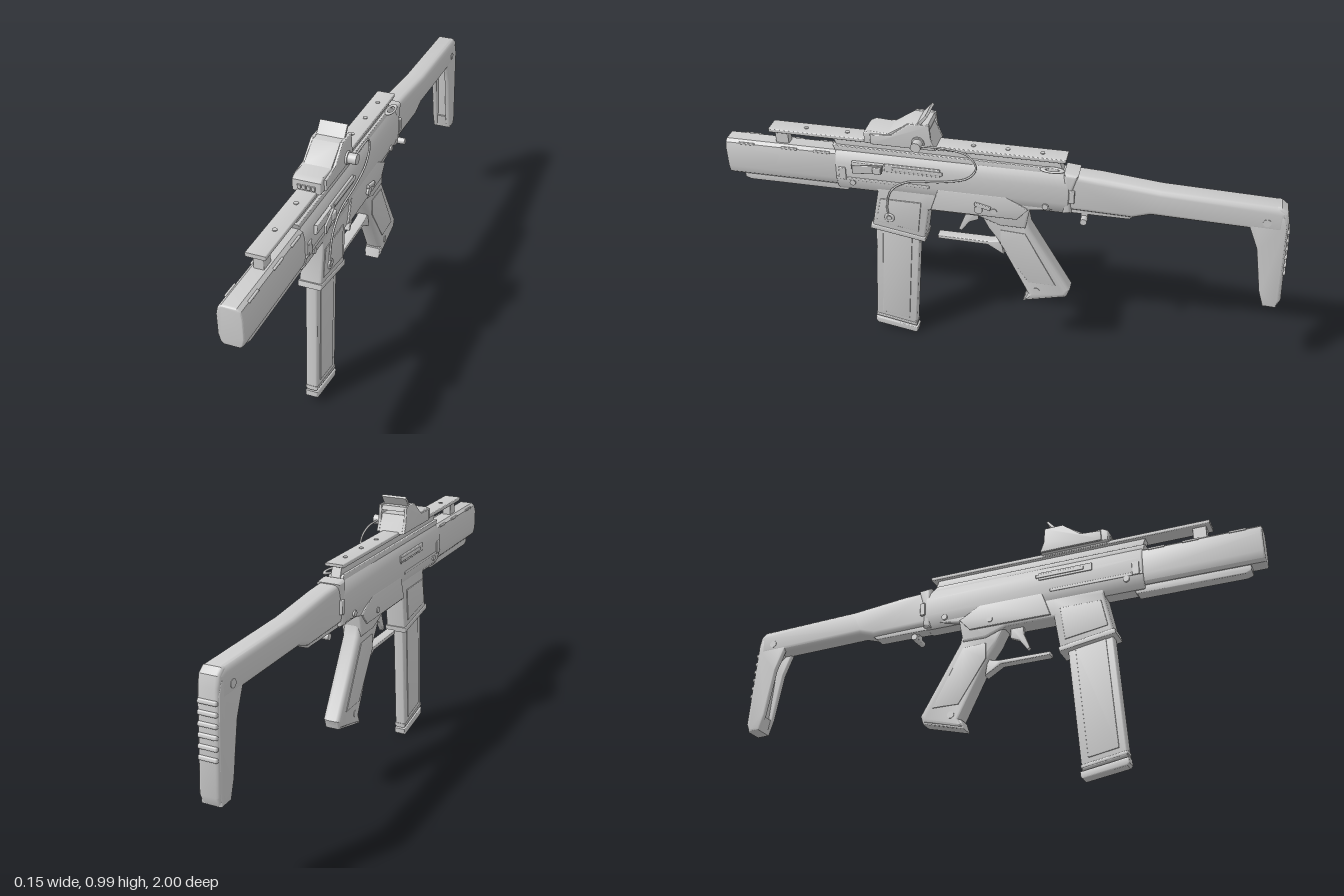
import * as THREE from 'three';
import { toCreasedNormals } from 'three/addons/utils/BufferGeometryUtils.js';
import { RoundedBoxGeometry } from 'three/addons/geometries/RoundedBoxGeometry.js';

const CX = -0.016; // centre plane of the body
const mat = new THREE.MeshStandardMaterial({ color: 0xcccccc, side: THREE.DoubleSide });

export function createModel() {
  const root = new THREE.Group();

  const add = (name, geo) => {
    const mesh = new THREE.Mesh(geo, mat);
    mesh.name = name;
    root.add(mesh);
    return mesh;
  };
  const toShape = (pts) => new THREE.Shape(pts.map(([a, b]) => new THREE.Vector2(a, b)));
  const extrude = (shape, depth, bevel) => new THREE.ExtrudeGeometry(shape, {
    depth: depth - 2 * bevel, bevelEnabled: bevel > 0, bevelThickness: bevel,
    bevelSize: bevel, bevelOffset: -bevel, bevelSegments: 3, curveSegments: 24,
  }).translate(0, 0, bevel);

  // Side outline of [z, y] points, given a width across x
  const side = (name, pts, width, bevel = 0.008, x = CX) => {
    const g = extrude(toShape(pts), width, bevel).translate(0, 0, -width / 2).rotateY(-Math.PI / 2);
    return add(name, toCreasedNormals(g.translate(x, 0, 0), 0.6));
  };
  // Mirrored half section of [half width, y] points, swept from z0 to z1
  const sweep = (name, half, z0, z1, bevel, hole) => {
    const pts = [...half.map(([w, y]) => [CX + w, y]), ...half.map(([w, y]) => [CX - w, y]).reverse()];
    const shape = toShape(pts);
    if (hole) shape.holes.push(new THREE.Path().absarc(CX, hole.y, hole.r, 0, Math.PI * 2, true));
    return add(name, toCreasedNormals(extrude(shape, z1 - z0, bevel).translate(0, 0, z0), 0.6));
  };
  const box = (name, w, h, d, x, y, z, r = 0.003) => {
    const mesh = add(name, new RoundedBoxGeometry(w, h, d, 2, r));
    mesh.position.set(x, y, z);
    return mesh;
  };
  // Pin or knob lying along x
  const pin = (name, r, x0, x1, y, z) => {
    const g = new THREE.CylinderGeometry(r, r, x1 - x0, 20).rotateZ(Math.PI / 2);
    const mesh = add(name, g);
    mesh.position.set((x0 + x1) / 2, y, z);
    return mesh;
  };
  const tube = (name, pts, r) => add(name, new THREE.TubeGeometry(
    new THREE.CatmullRomCurve3(pts.map((p) => new THREE.Vector3(...p))), 60, r, 8));

  // Front shroud with recessed barrel
  sweep('frontShroud', [
    [0.026, 0.665], [0.036, 0.675], [0.042, 0.70], [0.042, 0.77], [0.036, 0.795], [0.024, 0.805],
  ], 0.56, 1.0, 0.006, { y: 0.755, r: 0.03 });
  const bore = [[0, -0.1], [0.014, -0.1], [0.014, 0], [0.022, 0], [0.025, -0.004], [0.025, -0.35]];
  add('barrel', toCreasedNormals(new THREE.LatheGeometry(
    bore.map(([r, y]) => new THREE.Vector2(r, y)), 32).rotateX(Math.PI / 2), 0.6))
    .position.set(CX, 0.755, 0.985);
  side('underBarrelStrip', [[0.95, 0.668], [0.95, 0.645], [0.93, 0.637], [0.56, 0.637], [0.54, 0.668]], 0.045, 0.004);

  // Receiver
  sweep('upperReceiver', [
    [0.026, 0.65], [0.038, 0.665], [0.046, 0.70], [0.046, 0.765], [0.038, 0.795], [0.022, 0.815],
  ], -0.24, 0.59, 0.005);
  side('lowerReceiver', [
    [0.452, 0.68], [0.445, 0.655], [0.475, 0.50], [0.28, 0.465], [0.26, 0.60], [0.08, 0.60],
    [0.0, 0.57], [-0.09, 0.57], [-0.105, 0.65], [-0.19, 0.665], [-0.10, 0.69], [-0.07, 0.71],
    [0.22, 0.71], [0.26, 0.68],
  ], 0.078);
  side('magazineWellLip', [[0.478, 0.515], [0.482, 0.495], [0.277, 0.46], [0.274, 0.48]], 0.084, 0.004);
  for (const s of [-1, 1]) {
    const sx = (w) => CX + s * w;
    side('lowerPanel', [
      [0.25, 0.61], [0.22, 0.70], [-0.02, 0.70], [-0.10, 0.655], [-0.06, 0.61],
    ], 0.01, 0.003, sx(0.041));
    side('magazineWellPanel', [[0.435, 0.63], [0.455, 0.53], [0.30, 0.505], [0.285, 0.63]], 0.006, 0.002, sx(0.039));
    box('sideRib', 0.008, 0.03, 0.20, sx(0.046), 0.767, 0.31);
    box('sideSlide', 0.006, 0.014, 0.18, sx(0.05), 0.767, 0.29);
    box('frontClip', 0.012, 0.05, 0.026, sx(0.044), 0.725, 0.565);
    box('rearClip', 0.012, 0.05, 0.02, sx(0.043), 0.73, -0.25);
    box('receiverSeam', 0.006, 0.012, 0.34, sx(0.045), 0.805 - 0.1, 0.42);
    for (const z of [0.92, 0.76, 0.64]) box('shroudLug', 0.008, 0.008, 0.06, sx(0.036), 0.796, z);
    for (const [y, z] of [[0.69, 0.53], [0.635, 0.02], [0.68, -0.16]]) {
      const a = sx(0.042), b = sx(0.049);
      pin('receiverPin', 0.011, Math.min(a, b), Math.max(a, b), y, z);
    }
  }

  // Top rail on its neck
  side('rail', [[0.83, 0.866], [0.83, 0.852], [-0.215, 0.852], [-0.225, 0.856], [-0.225, 0.866]], 0.066, 0.003);
  side('railNeck', [[0.60, 0.853], [0.58, 0.80], [-0.22, 0.80], [-0.20, 0.853]], 0.036, 0.002);
  side('railFoot', [[0.60, 0.825], [0.59, 0.80], [-0.23, 0.80], [-0.20, 0.825]], 0.056, 0.003);
  box('railPost', 0.034, 0.06, 0.048, CX, 0.826, 0.79);
  for (const z of [0.70, 0.55, 0.10, -0.02, -0.14]) {
    add('railScrew', new THREE.CylinderGeometry(0.008, 0.008, 0.004, 16)).position.set(CX, 0.867, z);
  }

  // Magazine
  side('magazine', [[0.465, 0.52], [0.494, 0.06], [0.335, 0.03], [0.30, 0.49]], 0.042, 0.007);
  side('magazineBand', [[0.494, 0.078], [0.495, 0.066], [0.333, 0.036], [0.332, 0.048]], 0.045, 0.003);
  side('magazineBase', [[0.497, 0.056], [0.498, 0.034], [0.49, 0.026], [0.338, 0.0], [0.331, 0.008], [0.329, 0.026]], 0.046, 0.005);
  for (const s of [-1, 1]) {
    side('magazineRib', [[0.44, 0.49], [0.466, 0.09], [0.36, 0.07], [0.33, 0.47]], 0.005, 0.002, CX + s * 0.021);
  }

  // Grip, trigger and guard
  side('grip', [
    [0.08, 0.615], [0.045, 0.545], [0.012, 0.50], [-0.10, 0.275], [-0.086, 0.24], [-0.245, 0.28],
    [-0.257, 0.31], [-0.105, 0.57], [-0.095, 0.62],
  ], 0.066, 0.016);
  side('gripBase', [[-0.095, 0.272], [-0.084, 0.235], [-0.245, 0.277], [-0.256, 0.31], [-0.235, 0.325]], 0.056, 0.006);
  pin('gripPin', 0.013, CX - 0.035, CX + 0.035, 0.294, -0.134);
  for (const s of [-1, 1]) {
    side('gripPanel', [[0.0, 0.55], [0.0, 0.49], [-0.105, 0.33], [-0.205, 0.33], [-0.09, 0.545]], 0.005, 0.002, CX + s * 0.033);
  }
  side('triggerGuard', [
    [0.235, 0.482], [0.235, 0.468], [0.05, 0.466], [-0.01, 0.43], [0.0, 0.49], [0.045, 0.482],
  ], 0.036, 0.003);
  side('trigger', [
    [0.135, 0.61], [0.135, 0.575], [0.158, 0.515], [0.148, 0.508], [0.118, 0.55], [0.085, 0.565], [0.085, 0.61],
  ], 0.018, 0.003);
  const selector = box('selector', 0.01, 0.014, 0.06, 0.036, 0.655, 0.06);
  selector.rotation.x = -0.25;
  pin('selectorPivot', 0.015, 0.02, 0.038, 0.638, 0.075);

  // Stock arm
  side('stockArm', [
    [-0.225, 0.812], [-0.34, 0.806], [-0.55, 0.785], [-0.94, 0.773], [-0.965, 0.755], [-0.965, 0.675],
    [-0.52, 0.685], [-0.46, 0.665], [-0.225, 0.67],
  ], 0.078, 0.018);
  side('stockCollar', [[-0.22, 0.818], [-0.27, 0.813], [-0.25, 0.74], [-0.25, 0.66], [-0.22, 0.655]], 0.088, 0.012);
  side('stockUnderPlate', [[-0.23, 0.68], [-0.23, 0.652], [-0.45, 0.652], [-0.47, 0.672]], 0.05, 0.004);

  // Shoulder piece, with a channel along its front
  side('buttBack', [
    [-0.86, 0.69], [-0.86, 0.77], [-0.945, 0.773], [-0.968, 0.755], [-0.976, 0.72], [-0.998, 0.39],
    [-0.985, 0.358], [-0.942, 0.36], [-0.935, 0.41], [-0.915, 0.65],
  ], 0.072, 0.012);
  for (const s of [-1, 1]) {
    side('buttCheek', [
      [-0.845, 0.70], [-0.86, 0.74], [-0.96, 0.74], [-0.972, 0.70], [-0.99, 0.39], [-0.982, 0.36],
      [-0.938, 0.358], [-0.918, 0.42], [-0.886, 0.60],
    ], 0.02, 0.006, CX + s * 0.028);
  }
  side('buttToe', [[-0.925, 0.415], [-0.938, 0.358], [-0.985, 0.356], [-0.99, 0.41]], 0.074, 0.006);
  for (let i = 0; i < 6; i++) {
    const rib = box('buttRib', 0.066, 0.016, 0.026, CX, 0.675 - i * 0.034, -0.972 - i * 0.0023, 0.006);
    rib.rotation.x = 0.25;
  }
  pin('stockPin', 0.014, CX - 0.041, CX + 0.041, 0.712, -0.905);

  // Sling mounts
  box('slingPost', 0.03, 0.03, 0.025, CX + 0.01, 0.645, -0.295);
  pin('slingStud', 0.012, CX - 0.02, CX + 0.052, 0.637, -0.295);
  const ring = add('slingRing', new THREE.TorusGeometry(0.014, 0.004, 8, 24).rotateX(Math.PI / 2));
  ring.position.set(0.02, 0.825, -0.18);
  ring.scale.z = 2.4;

  // Charging handle
  side('chargingHandle', [[0.525, 0.782], [0.53, 0.752], [0.42, 0.752], [0.41, 0.782]], 0.014, 0.004, 0.034);
  const lever = box('chargingLever', 0.008, 0.032, 0.105, 0.054, 0.766, 0.465);
  lever.rotation.y = 0.16;
  box('chargingArm', 0.03, 0.026, 0.03, 0.045, 0.766, 0.43);

  // Optic: sloped base, cheeks, raised screen
  box('opticMount', 0.07, 0.02, 0.24, CX, 0.865, 0.345);
  side('opticBase', [
    [0.475, 0.86], [0.475, 0.90], [0.455, 0.91], [0.37, 0.905], [0.31, 0.925], [0.245, 0.925], [0.22, 0.86],
  ], 0.098, 0.005);
  for (const s of [-1, 1]) {
    side('opticCheek', [
      [0.45, 0.862], [0.45, 0.90], [0.375, 0.905], [0.31, 0.957], [0.24, 0.957], [0.235, 0.90], [0.22, 0.862],
    ], 0.012, 0.003, CX + s * 0.05);
  }
  side('opticHood', [[0.39, 0.905], [0.315, 0.955], [0.245, 0.955], [0.24, 0.938], [0.30, 0.935], [0.36, 0.895]], 0.094, 0.003);
  side('opticScreen', [[0.292, 0.945], [0.252, 0.992], [0.245, 0.986], [0.278, 0.943]], 0.096, 0.002);
  for (let i = 0; i < 4; i++) box('opticSlot', 0.013, 0.015, 0.006, CX + (i - 1.5) * 0.016, 0.878, 0.476, 0.002);
  pin('opticKnob', 0.018, 0.034, 0.075, 0.888, 0.28);
  pin('opticKnobCollar', 0.023, 0.034, 0.046, 0.888, 0.28);

  // Cable from the optic to the magazine well
  tube('cable', [
    [0.06, 0.888, 0.27], [0.055, 0.885, 0.18], [0.045, 0.86, 0.105], [0.038, 0.81, 0.08], [0.036, 0.765, 0.11],
    [0.036, 0.738, 0.20], [0.036, 0.72, 0.33], [0.034, 0.675, 0.39], [0.03, 0.60, 0.41], [0.028, 0.565, 0.408],
  ], 0.0035);
  const eye = add('cableEye', new THREE.TorusGeometry(0.014, 0.005, 8, 24).rotateY(Math.PI / 2));
  eye.position.set(0.027, 0.553, 0.405);
  pin('cableButton', 0.009, 0.02, 0.031, 0.553, 0.405);

  return root;
}
